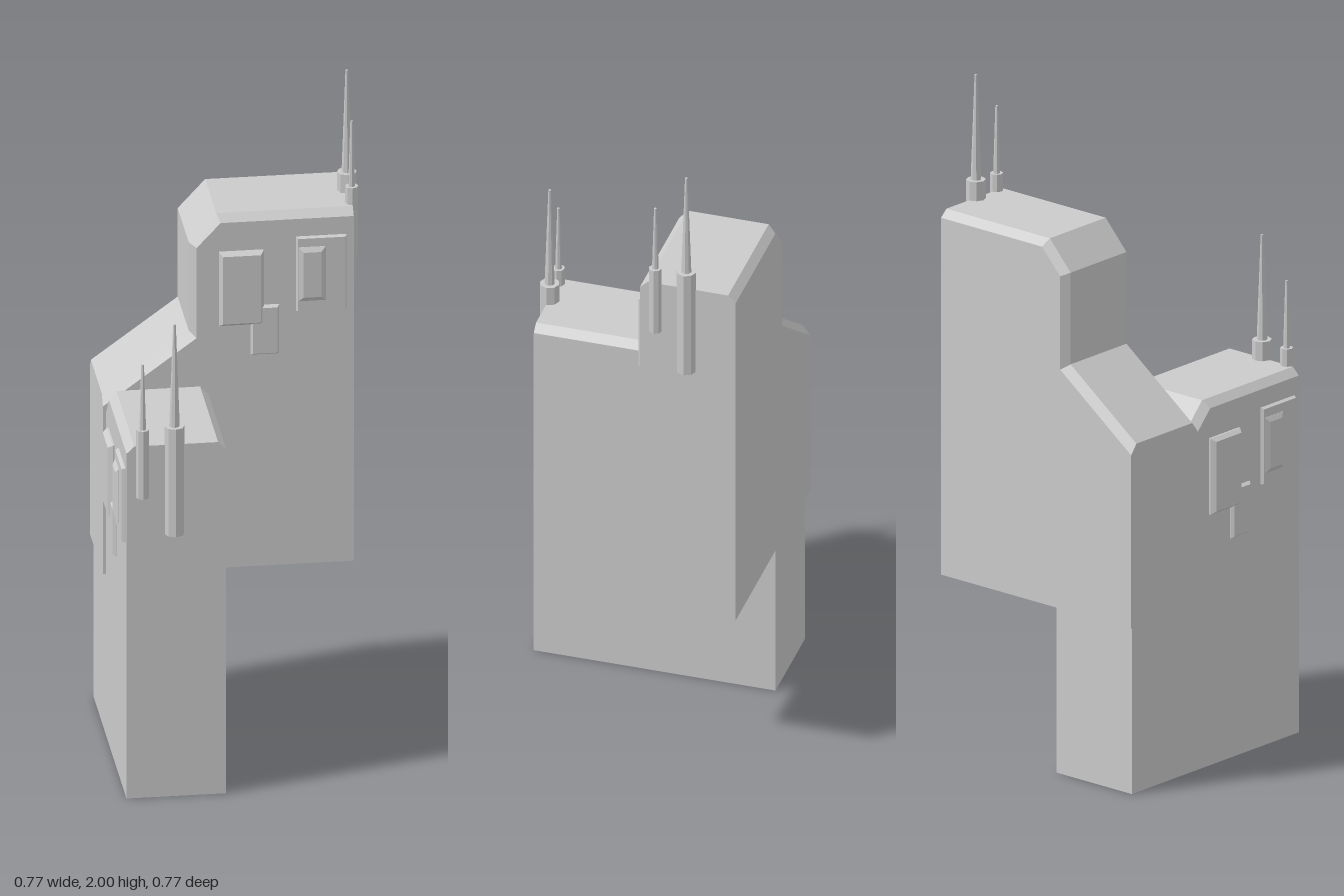
import * as THREE from 'three';

const material = new THREE.MeshStandardMaterial({ color: 0xcccccc, flatShading: true });

// Solid through matching outlines (counter-clockwise from the front), listed back to front
function loft(sections) {
  const pos = [];
  const n = sections[0].pts.length;
  const put = (s, i) => pos.push(s.pts[i % n][0], s.pts[i % n][1], s.z);
  for (let k = 0; k < sections.length - 1; k++) {
    const a = sections[k], b = sections[k + 1];
    for (let i = 0; i < n; i++) {
      put(a, i); put(a, i + 1); put(b, i + 1);
      put(a, i); put(b, i + 1); put(b, i);
    }
  }
  const cap = (s, flip) => {
    const outline = s.pts.map(([x, y]) => new THREE.Vector2(x, y));
    for (const [a, b, c] of THREE.ShapeUtils.triangulateShape(outline, [])) {
      for (const i of flip ? [a, c, b] : [a, b, c]) put(s, i);
    }
  };
  cap(sections[0], true);
  cap(sections[sections.length - 1], false);
  const geo = new THREE.BufferGeometry();
  geo.setAttribute('position', new THREE.Float32BufferAttribute(pos, 3));
  geo.computeVertexNormals();
  return geo;
}

function add(group, name, geo) {
  const mesh = new THREE.Mesh(geo, material);
  mesh.name = name;
  group.add(mesh);
  return mesh;
}

const rect = (x0, x1, y0, y1, d = 0) =>
  [[x0 + d, y0 + d], [x1 - d, y0 + d], [x1 - d, y1 - d], [x0 + d, y1 - d]];

// Wall panel with sloping edges
function panel(group, name, [x0, x1, y0, y1], z0, z1, bevel) {
  add(group, name, loft([
    { pts: rect(x0, x1, y0, y1), z: z0 },
    { pts: rect(x0, x1, y0, y1), z: z0 + (z1 - z0) * 0.4 },
    { pts: rect(x0, x1, y0, y1, bevel), z: z1 },
  ]));
}

// Eight-sided socket with a tapering spire on top
function mast(group, name, x, z, radius, bottom, top, tip) {
  const g = new THREE.Group();
  g.name = name;
  g.position.set(x, 0, z);
  add(g, 'socket', new THREE.CylinderGeometry(radius, radius, top - bottom, 8))
    .position.y = (top + bottom) / 2;
  add(g, 'spire', new THREE.CylinderGeometry(0.004, radius * 0.53, tip - top, 8))
    .position.y = (tip + top) / 2;
  group.add(g);
}

function createTower(name) {
  const g = new THREE.Group();
  g.name = name;

  // Stepped block, bevelled along its upper front and back edges
  const outer = [[-0.373, 0.51], [0.358, 0.51], [0.358, 1.622], [-0.04, 1.622],
    [-0.12, 1.535], [-0.12, 1.255], [-0.373, 1.07]];
  const inner = [[-0.373, 0.51], [0.358, 0.51], [0.358, 1.6], [-0.03, 1.6],
    [-0.1, 1.525], [-0.1, 1.24], [-0.373, 1.04]];
  add(g, 'towerBlock', loft([
    { pts: inner, z: -0.386 },
    { pts: outer, z: -0.363 },
    { pts: outer, z: -0.119 },
    { pts: inner, z: -0.096 },
  ]));

  // Panels on the front wall
  panel(g, 'largePanel', [-0.035, 0.095, 1.277, 1.51], -0.1, -0.077, 0.01);
  panel(g, 'smallPanel', [0.057, 0.14, 1.18, 1.335], -0.1, -0.084, 0.006);
  panel(g, 'backingPanel', [0.19, 0.337, 1.31, 1.545], -0.1, -0.085, 0.004);
  panel(g, 'raisedPanel', [0.195, 0.275, 1.345, 1.515], -0.09, -0.075, 0.014);

  // Masts on the end wall
  mast(g, 'tallMast', 0.356, -0.236, 0.029, 1.34, 1.68, 2.0);
  mast(g, 'shortMast', 0.358, -0.143, 0.019, 1.46, 1.675, 1.88);
  return g;
}

export function createModel() {
  const model = new THREE.Group();
  model.name = 'twinTowers';
  model.add(createTower('upperTower'));

  // Same tower, turned a quarter and set lower
  const lower = createTower('lowerTower');
  lower.rotation.y = -Math.PI / 2;
  lower.position.set(-0.46, -0.51, 0);
  model.add(lower);
  return model;
}
